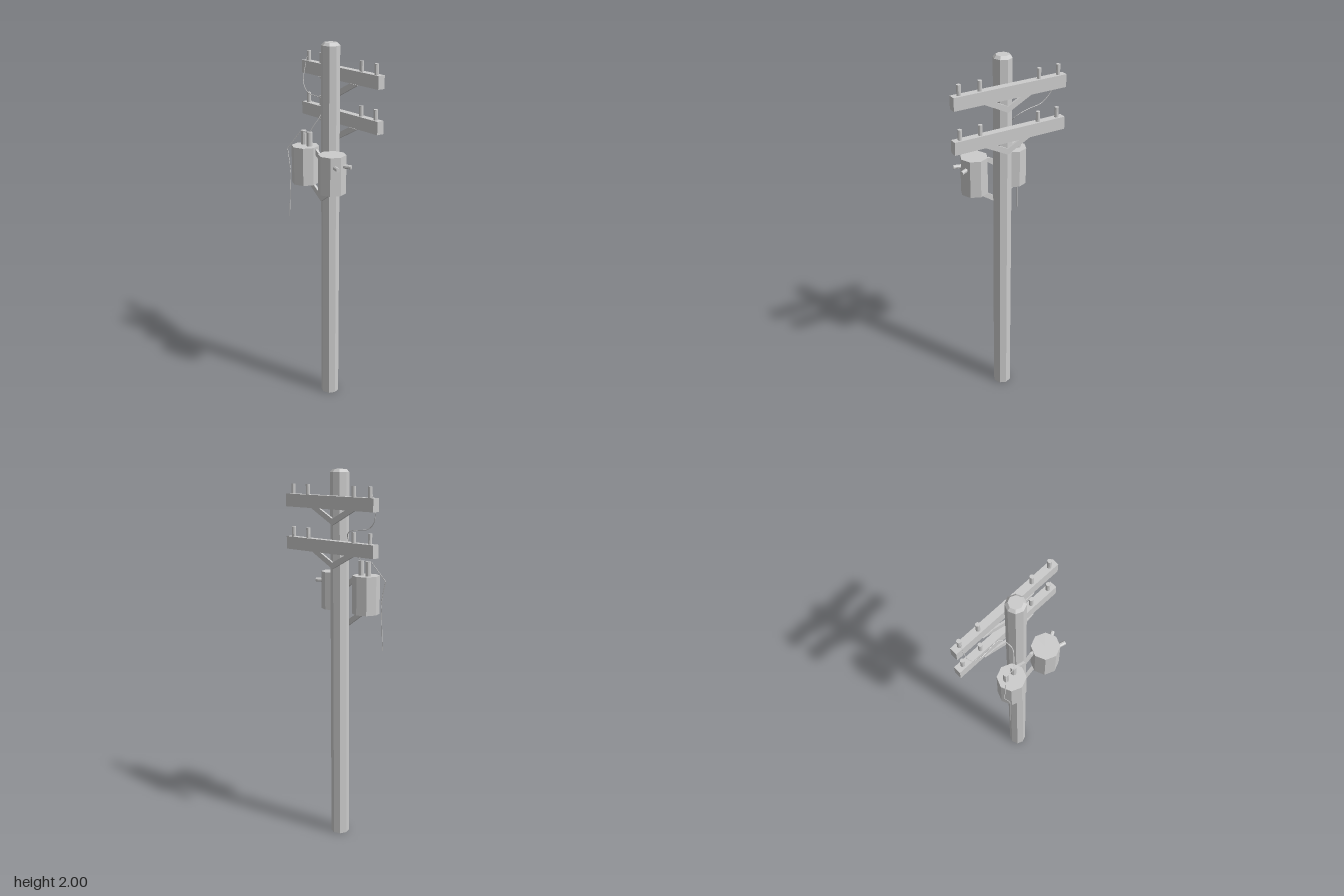
import * as THREE from 'three';

const material = new THREE.MeshStandardMaterial({ color: 0xcccccc, flatShading: true });

export function createModel() {
  const group = new THREE.Group();
  const add = (name, geometry, x = 0, y = 0, z = 0) => {
    const mesh = new THREE.Mesh(geometry, material);
    mesh.name = name;
    mesh.position.set(x, y, z);
    group.add(mesh);
    return mesh;
  };

  // Round bar between two points
  const rod = (name, a, b, radius, sides) => {
    const from = new THREE.Vector3(...a), to = new THREE.Vector3(...b);
    const dir = to.clone().sub(from);
    const mesh = add(name, new THREE.CylinderGeometry(radius, radius, dir.length(), sides));
    mesh.position.copy(from).add(to).multiplyScalar(0.5);
    mesh.quaternion.setFromUnitVectors(new THREE.Vector3(0, 1, 0), dir.normalize());
  };

  // Flat V strut: lower tip at y, arms rising to height h, cut level at the top
  const vBrace = (name, y, h, rise, reach, inner, z, depth) => {
    const shape = new THREE.Shape([
      [0, 0], [reach, h], [inner, h], [0, rise], [-inner, h], [-reach, h],
    ].map(([px, py]) => new THREE.Vector2(px, py)));
    add(name, new THREE.ExtrudeGeometry(shape, { depth, bevelEnabled: false }), 0, y, z);
  };

  // Octagonal pole with a chamfered top
  const profile = [[0, 0], [0.049, 0], [0.049, 1.985], [0.035, 2], [0, 2]];
  add('pole', new THREE.LatheGeometry(profile.map(p => new THREE.Vector2(...p)), 8), 0, 0, -0.035);

  // Crossarms with pin insulators and V braces
  for (const y of [1.577, 1.802]) {
    add('crossarm', new THREE.BoxGeometry(0.632, 0.067, 0.04), 0, y + 0.0335, -0.103);
    for (const x of [-0.278, -0.166, 0.166, 0.278]) {
      add('insulator', new THREE.CylinderGeometry(0.011, 0.011, 0.06, 10), x, y + 0.09, -0.103);
    }
    vBrace('crossarmBrace', y - 0.083, 0.083, 0.033, 0.162, 0.1, -0.091, 0.012);
  }

  // Transformer cans and the struts that carry them
  for (const x of [-0.112, 0.121]) {
    add('transformer', new THREE.CylinderGeometry(0.073, 0.073, 0.203, 8), x, 1.356, 0.047);
  }
  vBrace('lowerBracket', 1.172, 0.085, 0.033, 0.125, 0.078, 0.015, 0.013);
  vBrace('upperBracket', 1.383, 0.062, 0.033, 0.09, 0.043, 0.015, 0.013);

  // Bushings on top of one can and on the side of the other
  for (const x of [-0.138, -0.088]) {
    add('topBushing', new THREE.CylinderGeometry(0.015, 0.015, 0.08, 10), x, 1.493, 0.036);
  }
  rod('sideBushing', [0.165, 1.405, 0.028], [0.219, 1.405, 0.001], 0.011, 8);
  rod('sideBushing', [0.165, 1.405, 0.071], [0.221, 1.405, 0.086], 0.011, 8);

  // Sagging wire from the top arm to the bushing
  const sag = new THREE.CatmullRomCurve3([
    [-0.28, 1.9, -0.095], [-0.277, 1.79, -0.066], [-0.258, 1.745, -0.054],
    [-0.215, 1.71, -0.05], [-0.155, 1.702, -0.055], [-0.1, 1.693, -0.062],
    [-0.068, 1.67, -0.048], [-0.05, 1.62, -0.008], [-0.06, 1.59, 0.01],
    [-0.087, 1.53, 0.038],
  ].map(p => new THREE.Vector3(...p)));
  add('upperWire', new THREE.TubeGeometry(sag, 24, 0.002, 5));

  // Wire linking the bushings and hanging down beside the can
  const drop = [
    [-0.087, 1.532, 0.045], [-0.148, 1.53, 0.049], [-0.207, 1.43, 0.095],
    [-0.185, 1.36, 0.099], [-0.173, 1.3, 0.1], [-0.181, 1.054, 0.106],
  ];
  for (let i = 1; i < drop.length; i++) rod('hangingWire', drop[i - 1], drop[i], 0.002, 5);

  return group;
}
